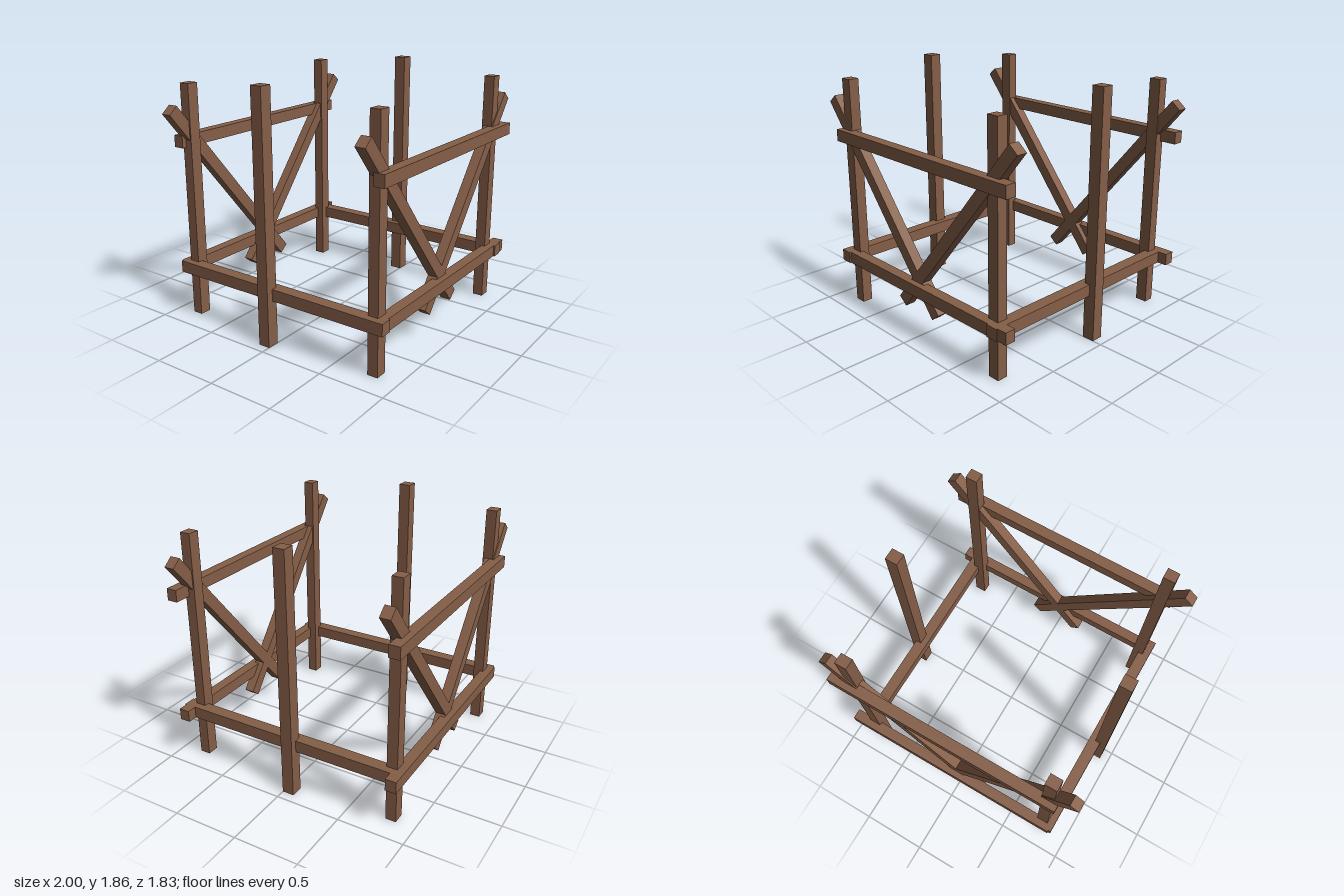
import * as THREE from 'three';

export function createModel() {
  const model = new THREE.Group();
  model.name = 'timberFrame';
  const wood = new THREE.MeshStandardMaterial({ color: 0x855e47 });
  wood.name = 'brown wood';

  // One squared timber: size, centre and tilt about z
  function beam(name, size, centre, tilt = 0) {
    const mesh = new THREE.Mesh(new THREE.BoxGeometry(...size), wood);
    mesh.name = name;
    mesh.position.set(...centre);
    mesh.rotation.z = tilt;
    model.add(mesh);
  }

  // Mirrored uprights and lower side rails
  for (const [side, s] of [['left', 1], ['right', -1]]) {
    beam(side + 'FrontPost', [0.09, 1.79, 0.08], [s * 0.78, 0.895, 0.806]);
    beam(side + 'BackPost', [0.09, 1.79, 0.08], [s * 0.78, 0.895, -0.818]);
    beam(side + 'MiddlePost', [0.095, 1.86, 0.09], [s * 0.883, 0.93, -0.044]);
    beam(side + 'SideRail', [0.092, 0.09, 1.815], [s * 0.833, 0.388, 0.005]);
  }

  // Front and back: two rails and a pair of crossing braces each
  const faces = [
    { name: 'front', railZ: 0.86, braceZ: 0.815 },
    { name: 'back', railZ: -0.873, braceZ: -0.828 },
  ];
  const top = new THREE.Vector2(0.965, 1.618);
  const foot = new THREE.Vector2(-0.188, 0.219);
  const run = top.clone().sub(foot);
  const mid = top.clone().add(foot).multiplyScalar(0.5);
  for (const { name, railZ, braceZ } of faces) {
    beam(name + 'LowerRail', [1.812, 0.09, 0.082], [0.047, 0.388, railZ]);
    beam(name + 'UpperRail', [1.812, 0.09, 0.082], [0.047, 1.363, railZ]);
    for (const [side, s] of [['Left', 1], ['Right', -1]]) {
      beam(name + side + 'Brace', [run.length(), 0.09, 0.078], [s * mid.x, mid.y, braceZ], s * run.angle());
    }
  }
  return model;
}
